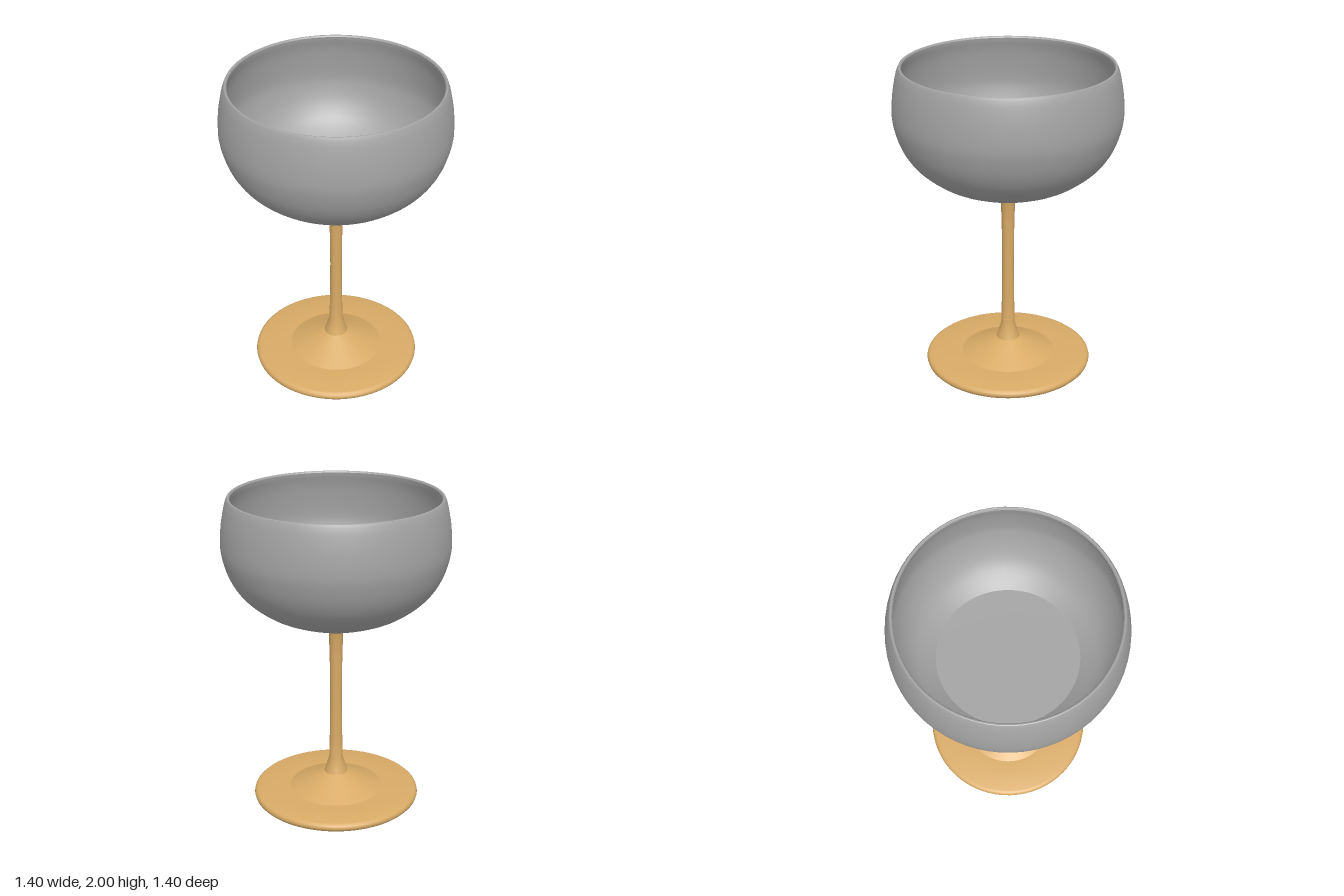
import * as THREE from 'three';
import { toCreasedNormals } from 'three/addons/utils/BufferGeometryUtils.js';

const v = (p) => new THREE.Vector2(p[0], p[1]);
// smooth run of profile points
const curve = (pts, n) => new THREE.SplineCurve(pts.map(v)).getPoints(n);

function turned(name, points, material, crease) {
  const geometry = toCreasedNormals(new THREE.LatheGeometry(points, 64), crease);
  const mesh = new THREE.Mesh(geometry, material);
  mesh.name = name;
  return mesh;
}

export function createModel() {
  const glass = new THREE.MeshStandardMaterial({ color: 0xa3a3a3 });
  glass.name = 'grey bowl';
  const gold = new THREE.MeshStandardMaterial({ color: 0xd8aa66 });
  gold.name = 'gold stem';

  const model = new THREE.Group();
  model.name = 'coupeGlass';

  // Bowl: flat underside, rounded wall, thin lip, then the inside down to a flat floor
  const outside = curve([[0.32, 1.24], [0.45, 1.3], [0.575, 1.4], [0.65, 1.51],
    [0.69, 1.63], [0.70, 1.72], [0.691, 1.84], [0.672, 1.94], [0.658, 1.985]], 32);
  const lip = [[0.652, 1.997], [0.647, 2], [0.64, 1.998], [0.635, 1.99]].map(v);
  const inside = curve([[0.638, 1.97], [0.66, 1.88], [0.675, 1.72], [0.665, 1.63],
    [0.626, 1.52], [0.555, 1.42], [0.435, 1.33]], 28);
  model.add(turned('bowl', [v([0, 1.237]), ...outside, ...lip, ...inside, v([0, 1.32])], glass, 0.4));

  // Small seat joining bowl and stem
  const seat = new THREE.Mesh(new THREE.CylinderGeometry(0.12, 0.12, 0.008, 48), glass);
  seat.name = 'bowlSeat';
  seat.position.y = 1.236;
  model.add(seat);

  // Stem: slender, flared at both ends
  const stem = [[0.3, 0.06], [0.075, 0.163], [0.064, 0.195], [0.043, 0.27], [0.04, 0.44], [0.037, 0.7],
    [0.04, 0.98], [0.045, 1.12], [0.052, 1.145], [0.09, 1.225], [0.091, 1.236], [0, 1.236]].map(v);
  model.add(turned('stem', stem, gold, 0.8));

  // Foot: thin disc with a rounded rim
  const foot = [[0, 0], [0.505, 0], [0.518, 0.004], [0.528, 0.014], [0.532, 0.028], [0.528, 0.042],
    [0.518, 0.051], [0.505, 0.055], [0.3, 0.061], [0, 0.061]].map(v);
  model.add(turned('foot', foot, gold, 0.6));

  return model;
}
